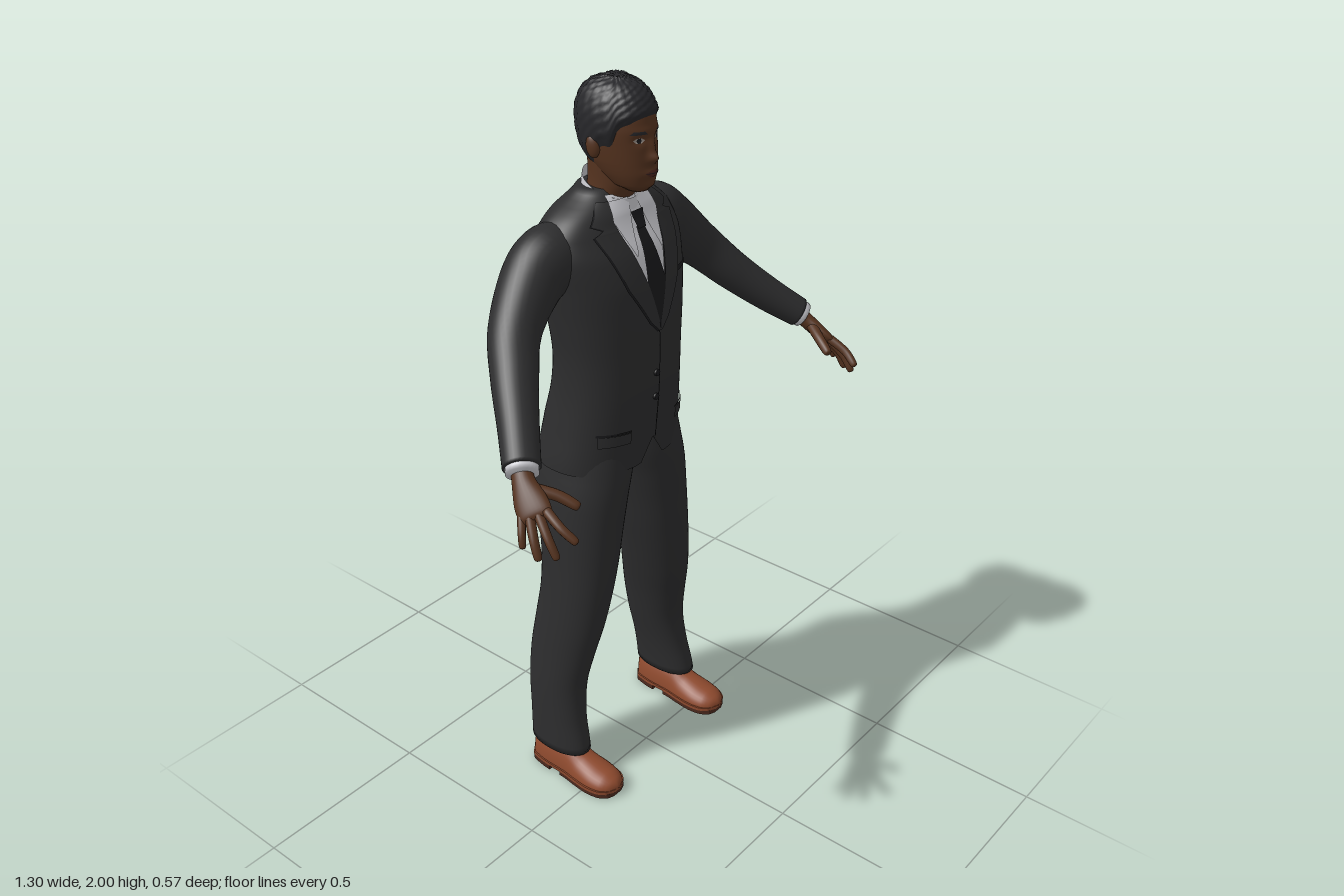
import * as THREE from 'three';

const mat = (name, color, side = THREE.DoubleSide) => {
  const m = new THREE.MeshStandardMaterial({ color, side });
  m.name = name;
  return m;
};
const V = (x, y, z) => new THREE.Vector3(x, y, z);
const gauss = (a, w) => Math.exp(-(a / w) * (a / w));
const steps = (n, f) => Array.from({ length: n + 1 }, (_, i) => f(i / n));

// Smoothly interpolates table rows; the first column is the key
function at(rows, v) {
  let i = 0;
  while (i < rows.length - 2 && v > rows[i + 1][0]) i++;
  const u = THREE.MathUtils.clamp((v - rows[i][0]) / (rows[i + 1][0] - rows[i][0]), 0, 1);
  const p = k => rows[THREE.MathUtils.clamp(k, 0, rows.length - 1)];
  return rows[0].map((_, c) => {
    const [a, b, d, e] = [p(i - 1)[c], p(i)[c], p(i + 1)[c], p(i + 2)[c]];
    return c === 0 ? v : b + 0.5 * u * (d - a + u * (2 * a - 5 * b + 4 * d - e + u * (3 * (b - d) + e - a)));
  });
}

// Skin over a list of rings, optionally closed at the ends
function loft(rings, capStart = true, capEnd = true) {
  const n = rings[0].length, pts = rings.flat(), idx = [];
  for (let i = 0; i < rings.length - 1; i++) for (let j = 0; j < n; j++) {
    const a = i * n + j, b = i * n + (j + 1) % n;
    idx.push(a, a + n, b, b, a + n, b + n);
  }
  const cap = (r, flip) => {
    const c = pts.length;
    pts.push(rings[r].reduce((s, p) => s.add(p), V(0, 0, 0)).divideScalar(n));
    for (let j = 0; j < n; j++) {
      const a = r * n + j, b = r * n + (j + 1) % n;
      idx.push(c, flip ? b : a, flip ? a : b);
    }
  };
  if (capStart) cap(0, false);
  if (capEnd) cap(rings.length - 1, true);
  const g = new THREE.BufferGeometry().setFromPoints(pts);
  g.setIndex(idx);
  g.computeVertexNormals();
  return g;
}

// Upright body section: rows are [y, centreX, halfWidth, zFront, zBack]
const pw = (v, e) => Math.sign(v) * Math.pow(Math.abs(v), e);
function bodyPoint(rows, ang, y, p, grow = 0) {
  const [, cx, hw, zf, zb] = at(rows, y), e = 2 / p;
  return V(cx + (hw + grow) * pw(Math.cos(ang), e), y, (zf + zb) / 2 + ((zf - zb) / 2 + grow) * pw(Math.sin(ang), e));
}
function body(rows, n, m, p, rule = v => v, capS = true, capE = true) {
  const y0 = rows[0][0], y1 = rows[rows.length - 1][0];
  return loft(steps(m, t => steps(n - 1, k => rule(bodyPoint(rows, k * (n - 1) / n * Math.PI * 2, y0 + t * (y1 - y0), p)))), capS, capE);
}
function surfaceZ(rows, x, y, p, dir = 1) {
  const [, cx, hw, zf, zb] = at(rows, y), k = Math.min(1, Math.abs(x - cx) / hw);
  return (zf + zb) / 2 + dir * (zf - zb) / 2 * Math.pow(1 - Math.pow(k, p), 1 / p);
}

// Limb along a path of [x, y, z, radiusAcross, radiusUp]
function limb(points, n = 16, m = 24, ref = [0, 1, 0]) {
  const rows = points.map((q, i) => [i, ...q]), last = points.length - 1;
  const pos = t => V(...at(rows, THREE.MathUtils.clamp(t, 0, last)).slice(1, 4));
  return loft(steps(m, t => {
    const k = t * last, [, , , , r1, r2] = at(rows, k), c = pos(k);
    const T = pos(k + 0.05).sub(pos(k - 0.05)).normalize();
    const side = T.clone().cross(V(...ref)).normalize(), up = side.clone().cross(T);
    return steps(n - 1, j => {
      const a = j * (n - 1) / n * Math.PI * 2;
      return c.clone().addScaledVector(side, r1 * Math.cos(a)).addScaledVector(up, r2 * Math.sin(a));
    });
  }));
}

// Thin panel lying on a surface; rows are [y, x0, x1] from the top down
function panel(zAt, rows, off, s = 1, nx = 8) {
  const pts = [], idx = [], sub = 6, w = nx + 1, m = (rows.length - 1) * sub;
  for (let i = 0; i <= m; i++) {
    const k = Math.min(Math.floor(i / sub), rows.length - 2), u = i / sub - k;
    const [y, a, b] = rows[k].map((v, c) => v + (rows[k + 1][c] - v) * u);
    for (let j = 0; j <= nx; j++) {
      const t = s > 0 ? j / nx : 1 - j / nx, x = s * (a + (b - a) * t);
      pts.push(V(x, y, zAt(x, y) + off));
      if (i < m && j < nx) { const q = i * w + j; idx.push(q, q + w, q + 1, q + 1, q + w, q + w + 1); }
    }
  }
  const g = new THREE.BufferGeometry().setFromPoints(pts);
  g.setIndex(idx);
  g.computeVertexNormals();
  return g;
}

const TORSO = [[0.985, 0, 0.217, 0.02, -0.285], [1.1, 0, 0.2, 0.03, -0.268], [1.2, 0, 0.188, 0.038, -0.245],
  [1.3, 0, 0.187, 0.04, -0.236], [1.4, 0, 0.198, 0.038, -0.245], [1.5, 0, 0.212, 0.028, -0.258], [1.58, 0, 0.222, 0.003, -0.258],
  [1.64, 0, 0.205, -0.03, -0.243], [1.675, 0, 0.165, -0.045, -0.228], [1.705, 0, 0.11, -0.06, -0.205], [1.727, 0, 0.083, -0.075, -0.19]];
const HEAD = [[1.728, 0, 0.028, 0, -0.06], [1.742, 0, 0.047, 0.012, -0.1], [1.77, 0, 0.061, 0.018, -0.14], [1.8, 0, 0.07, 0.018, -0.17],
  [1.84, 0, 0.076, 0.016, -0.187], [1.88, 0, 0.079, 0.014, -0.195], [1.92, 0, 0.076, 0.006, -0.193], [1.955, 0, 0.063, -0.012, -0.178],
  [1.977, 0, 0.042, -0.038, -0.15], [1.988, 0, 0.015, -0.075, -0.11]];
const LEG = [[0.095, 0.295, 0.185, -0.022, -0.22], [0.2, 0.29, 0.174, -0.045, -0.225], [0.3, 0.283, 0.155, -0.053, -0.235],
  [0.4, 0.272, 0.135, -0.036, -0.237], [0.5, 0.262, 0.11, -0.015, -0.228], [0.6, 0.252, 0.085, -0.003, -0.218], [0.7, 0.243, 0.06, 0.003, -0.222],
  [0.8, 0.236, 0.038, 0.006, -0.24], [0.9, 0.226, 0.016, 0.01, -0.26], [0.97, 0.211, -0.004, 0.01, -0.266], [1.1, 0.185, -0.02, 0, -0.245]];
const FOOT = [[-0.212, 0.02, 0.075], [-0.2, 0.037, 0.085], [-0.15, 0.046, 0.09], [-0.07, 0.048, 0.085], [-0.03, 0.053, 0.062],
  [0.02, 0.056, 0.048], [0.06, 0.049, 0.038], [0.083, 0.032, 0.027], [0.092, 0.01, 0.016]];
const HAIRLINE = [[-1, 1.77], [-0.5, 1.782], [-0.15, 1.815], [0.1, 1.84], [0.35, 1.843], [0.55, 1.885], [0.8, 1.9], [1, 1.912]];

// Nose, eye sockets, brow, lips and chin as swellings of the face
const faceBump = (x, y) => 0.019 * gauss(x, 0.013) * gauss(y - 1.815, 0.014) + 0.01 * gauss(x, 0.01) * gauss(y - 1.843, 0.02)
  - 0.006 * gauss(Math.abs(x) - 0.032, 0.014) * gauss(y - 1.86, 0.011) + 0.003 * gauss(x, 0.05) * gauss(y - 1.882, 0.01)
  + 0.007 * gauss(x, 0.022) * gauss(y - 1.777, 0.011) + 0.004 * gauss(x, 0.02) * gauss(y - 1.747, 0.01);

export function createModel() {
  const root = new THREE.Group();
  root.name = 'manInSuit';
  const suit = mat('suit charcoal', 0x2d2d2e), trim = mat('dark trim', 0x19191b), shirt = mat('shirt white', 0xc9c9ce);
  const skin = mat('skin brown', 0x55331f, THREE.FrontSide), hair = mat('hair black', 0x27272a), lip = mat('lips', 0x4a261e);
  const white = mat('eye white', 0x9a9088), leather = mat('shoe leather', 0x8e4a2e), soleMat = mat('shoe sole', 0x4d2a1e);
  const add = (name, geo, m) => {
    const mesh = new THREE.Mesh(geo, m);
    mesh.name = name;
    root.add(mesh);
    return mesh;
  };
  const chest = (x, y) => surfaceZ(TORSO, x, y, 2.3);
  const face = (x, y) => surfaceZ(HEAD, x, y, 2.1) + faceBump(x, y);

  // Jacket body with a cutaway at the front hem
  add('jacket', body(TORSO, 80, 60, 2.3, v => {
    if (v.z > -0.05) v.y = Math.max(v.y, 0.985 + 0.07 * (1 - Math.abs(v.x) / 0.045));
    return v;
  }, false, true), suit);
  add('frontClosure', panel(chest, [[1.38, 0, 0.004], [1.055, 0, 0.004]], 0.003), trim);
  add('backVent', panel((x, y) => surfaceZ(TORSO, x, y, 2.3, -1), [[1.16, -0.002, 0.002], [0.987, -0.005, 0.005]], -0.003), trim);
  for (const y of [1.25, 1.18]) {
    const b = add('button', new THREE.CylinderGeometry(0.009, 0.009, 0.006, 16), trim);
    b.rotation.x = Math.PI / 2;
    b.position.set(-0.008, y, chest(0, y) + 0.003);
  }
  add('breastPocket', panel(chest, [[1.505, 0.1, 0.155], [1.492, 0.1, 0.155]], 0.004), trim);

  // Shirt front, tie and collar stand
  add('shirtFront', panel(chest, [[1.715, -0.065, 0.065], [1.65, -0.076, 0.076], [1.6, -0.064, 0.064], [1.5, -0.033, 0.033], [1.39, 0, 0]], 0.004, 1, 16), shirt);
  add('tieBlade', panel(chest, [[1.635, -0.014, 0.014], [1.5, -0.034, 0.034], [1.39, -0.003, 0.003]], 0.007), trim);
  add('tieKnot', panel(chest, [[1.672, -0.023, 0.023], [1.63, -0.014, 0.014]], 0.013), trim);
  add('collarStand', loft(steps(4, t => steps(47, k => {
    const a = k * 47 / 48 * Math.PI * 2, s = Math.sin(a);
    return V((0.08 - 0.008 * t) * Math.cos(a), 1.69 - 0.022 * s + t * (0.04 - 0.008 * s), -0.114 + (0.075 - 0.005 * t) * s);
  })), false, false), shirt);

  // Neck, head and hair
  add('neck', body([[1.64, 0, 0.07, -0.075, -0.18], [1.7, 0, 0.064, -0.054, -0.176], [1.74, 0, 0.06, -0.04, -0.172], [1.8, 0, 0.06, -0.04, -0.172]], 40, 14, 2), skin);
  add('head', body(HEAD, 96, 70, 2.1, v => {
    if (v.z > -0.06) v.z += faceBump(v.x, v.y);
    return v;
  }), skin);
  add('hair', loft(steps(28, t => steps(79, k => {
    const a = k * 79 / 80 * Math.PI * 2, low = at(HAIRLINE, Math.sin(a))[1];
    const y = low + (1.988 - low) * Math.sin(t * Math.PI / 2);
    const bump = 0.0018 * Math.sin(a * 17 + t * 23) * Math.sin(t * 31 - a * 6);
    const v = bodyPoint(HEAD, a, y, 2.1, Math.min(1, t * 7) * (0.01 + bump) - 0.001);
    v.y += 0.01 * t * t + bump * t;
    return v;
  })), false, true), hair);
  add('lips', panel(face, [[1.786, -0.008, 0.008], [1.779, -0.024, 0.024], [1.769, -0.012, 0.012]], 0.0015), lip);
  add('mouthLine', panel(face, [[1.7795, -0.023, 0.023], [1.778, -0.023, 0.023]], 0.0025), trim);

  for (const s of [1, -1]) {
    const side = s > 0 ? 'left' : 'right';
    const X = rows => rows.map(([x, ...r]) => [x * s, ...r]);
    const part = (name, geo, m) => add(side + name, geo, m);

    // Face details
    part('EyeWhite', panel(face, [[1.866, 0.026, 0.038], [1.861, 0.019, 0.046], [1.854, 0.026, 0.039]], 0.0015, s), white);
    part('Iris', panel(face, [[1.866, 0.029, 0.036], [1.86, 0.027, 0.038], [1.854, 0.029, 0.036]], 0.0025, s), trim);
    part('Brow', panel(face, [[1.883, 0.022, 0.046], [1.875, 0.014, 0.054]], 0.002, s), hair);
    const ear = part('Ear', new THREE.SphereGeometry(1, 20, 14), skin);
    ear.scale.set(0.011, 0.029, 0.018);
    ear.position.set(s * 0.08, 1.838, -0.1);
    ear.rotation.set(-0.15, s * -0.3, 0);

    // Shirt collar point, lapel and pocket flap
    part('CollarPoint', panel(chest, [[1.705, 0.012, 0.07], [1.66, 0.022, 0.08], [1.575, 0.044, 0.05]], 0.01, s), shirt);
    const lapel = [[1.705, 0.07, 0.095], [1.66, 0.077, 0.138], [1.648, 0.076, 0.112], [1.636, 0.074, 0.142], [1.5, 0.033, 0.094], [1.4, 0.004, 0.034], [1.37, 0, 0.006]];
    part('LapelEdge', panel(chest, lapel.map(([y, a, b]) => [y - 0.002, a, b + 0.004]), 0.006, s), trim);
    part('Lapel', panel(chest, lapel, 0.009, s), suit);
    part('PocketSeam', panel(chest, [[1.108, 0.088, 0.172], [1.102, 0.088, 0.172]], 0.004, s), trim);
    part('PocketFlap', panel(chest, [[1.102, 0.09, 0.17], [1.07, 0.09, 0.17]], 0.006, s), suit);

    // Sleeve and shirt cuff
    part('Sleeve', limb(X([[0.14, 1.565, -0.145, 0.08, 0.088], [0.2, 1.568, -0.148, 0.083, 0.093], [0.265, 1.53, -0.146, 0.078, 0.083], [0.36, 1.448, -0.112, 0.066, 0.063],
      [0.43, 1.367, -0.05, 0.058, 0.054], [0.5, 1.292, 0.025, 0.05, 0.047], [0.56, 1.235, 0.09, 0.046, 0.041]]), 32, 48), suit);
    part('Cuff', limb(X([[0.545, 1.25, 0.075, 0.04, 0.036], [0.569, 1.226, 0.1, 0.04, 0.036]]), 24, 3), shirt);

    // Hand
    const ref = [0.73 * s, 0.65, 0.22];
    part('Palm', limb(X([[0.557, 1.238, 0.085, 0.025, 0.022], [0.574, 1.211, 0.108, 0.029, 0.021], [0.59, 1.18, 0.142, 0.041, 0.019],
      [0.6, 1.16, 0.167, 0.042, 0.015], [0.604, 1.152, 0.176, 0.036, 0.008]]), 24, 20, ref), skin);
    const fingers = {
      Index: [[0.585, 1.17, 0.187], [0.59, 1.145, 0.235], [0.58, 1.115, 0.277]],
      Middle: [[0.596, 1.164, 0.171], [0.612, 1.12, 0.215], [0.615, 1.075, 0.246]],
      Ring: [[0.606, 1.16, 0.153], [0.629, 1.112, 0.187], [0.638, 1.068, 0.209]],
      Little: [[0.613, 1.156, 0.135], [0.635, 1.12, 0.155], [0.645, 1.087, 0.166]],
      Thumb: [[0.577, 1.203, 0.122], [0.54, 1.187, 0.178], [0.516, 1.162, 0.228]],
    };
    for (const [name, [a, b, c]] of Object.entries(fingers)) {
      const r = name === 'Thumb' ? 0.014 : name === 'Little' ? 0.0095 : 0.0115, mid = b.map((v, i) => v + (c[i] - v) * 0.85);
      part(name + 'Finger', limb(X([[...a, r * 1.1, r * 1.1], [...b, r, r], [...mid, r * 0.85, r * 0.85], [...c, r * 0.3, r * 0.3]]), 12, 18, ref), skin);
    }

    // Trouser leg
    part('TrouserLeg', body(LEG.map(([y, o, i, f, b]) => [y, s * (o + i) / 2, (o - i) / 2, f, b]), 48, 50, 2.2), suit);

    // Shoe upper, welt, sole and heel
    const cx = s * 0.238;
    part('ShoeUpper', loft(steps(40, t => {
      const z = 0.092 - 0.304 * t, [, hw, h] = at(FOOT, z);
      return steps(31, k => {
        const a = k * 31 / 32 * Math.PI * 2;
        return V(cx + hw * Math.cos(a), 0.022 + h * Math.max(0, Math.sin(a)), z);
      });
    })), leather);
    const slab = (name, z0, z1, y, h, grow, m) => {
      const half = dir => steps(24, t => {
        const z = dir > 0 ? z0 + t * (z1 - z0) : z1 + t * (z0 - z1);
        return new THREE.Vector2(cx + dir * (at(FOOT, z)[1] + grow), -z);
      });
      const g = new THREE.ExtrudeGeometry(new THREE.Shape([...half(1), ...half(-1)].reverse()), { depth: h, bevelEnabled: false });
      part(name, g.rotateX(-Math.PI / 2).translate(0, y, 0), m);
    };
    slab('ShoeWelt', -0.212, 0.092, 0.017, 0.01, 0.004, leather);
    slab('ShoeSole', -0.09, 0.09, 0.003, 0.014, 0.002, soleMat);
    slab('ShoeHeel', -0.212, -0.13, 0, 0.017, 0.002, soleMat);
  }
  return root;
}
